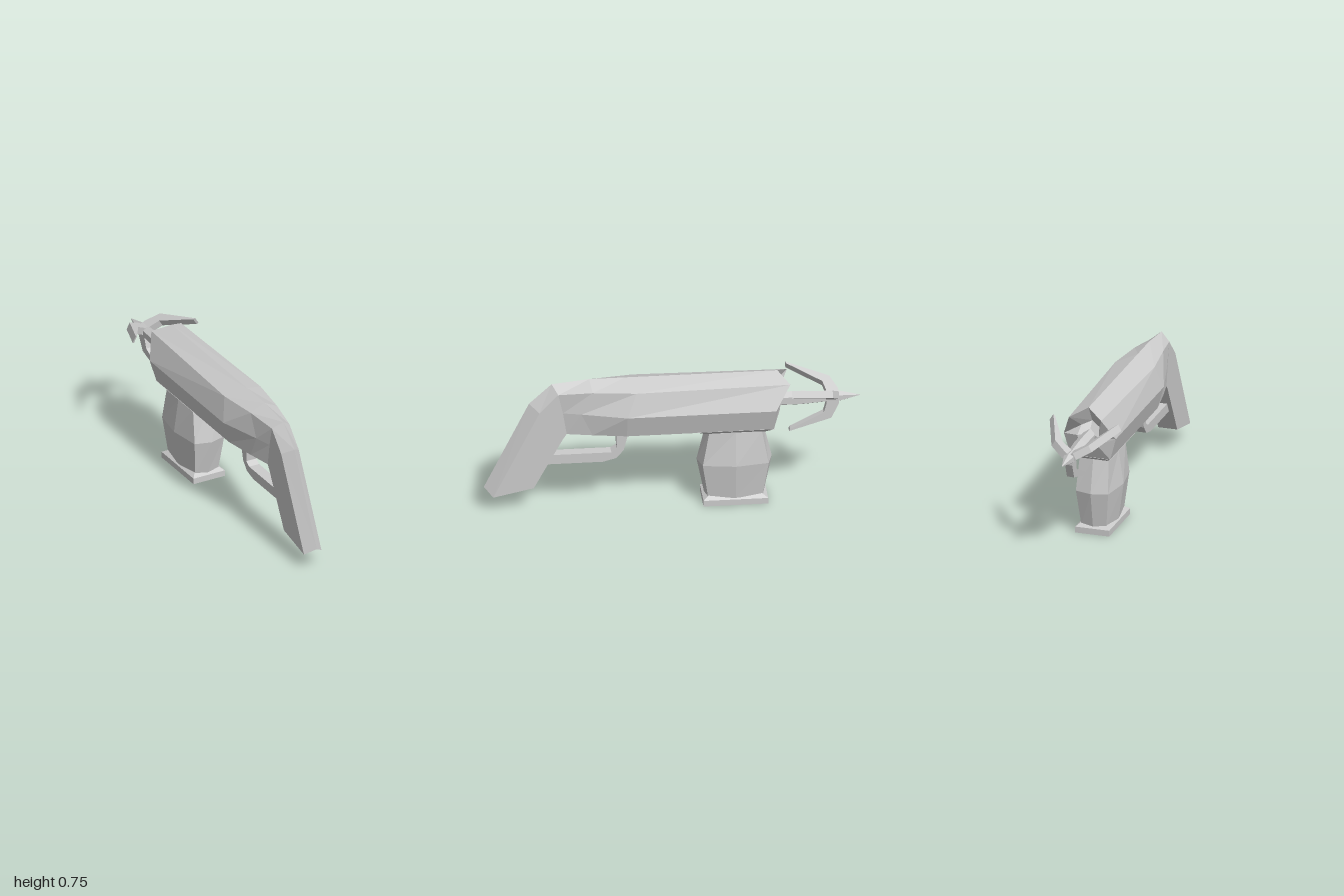
import * as THREE from 'three';

const material = new THREE.MeshStandardMaterial({ color: 0xcccccc, flatShading: true });

// Skin a list of equal-length rings of [x, y, z] points, closing both ends with fans.
function loft(name, rings) {
  const out = [];
  const n = rings[0].length;
  const tri = (a, b, c) => out.push([a, b, c]);
  for (let r = 0; r < rings.length - 1; r++) {
    for (let i = 0; i < n; i++) {
      const j = (i + 1) % n;
      tri(rings[r][i], rings[r][j], rings[r + 1][j]);
      tri(rings[r][i], rings[r + 1][j], rings[r + 1][i]);
    }
  }
  const cap = (ring, flip) => {
    const mid = [0, 1, 2].map(k => ring.reduce((s, p) => s + p[k], 0) / n);
    for (let i = 0; i < n; i++) {
      const a = ring[i], b = ring[(i + 1) % n];
      flip ? tri(mid, b, a) : tri(mid, a, b);
    }
  };
  cap(rings[0], true);
  cap(rings[rings.length - 1], false);
  // a negative enclosed volume means the skin is inside out
  let volume = 0;
  const va = new THREE.Vector3(), vb = new THREE.Vector3(), vc = new THREE.Vector3();
  for (const [a, b, c] of out) {
    volume += va.fromArray(a).dot(vb.fromArray(b).cross(vc.fromArray(c)));
  }
  const tris = volume < 0 ? out.map(([a, b, c]) => [a, c, b]) : out;
  const geometry = new THREE.BufferGeometry();
  geometry.setAttribute('position', new THREE.Float32BufferAttribute(tris.flat(2), 3));
  geometry.computeVertexNormals();
  const mesh = new THREE.Mesh(geometry, material);
  mesh.name = name;
  return mesh;
}

// Body ring: ridge [y, z], then mirrored shoulder, flank and belly as [x, y, z].
const bodyRing = ([y, z], ...side) => [
  [0, y, z], ...side, ...side.slice().reverse().map(([x, yy, zz]) => [-x, yy, zz]),
];

const rect = (hw, hd, y, zc) => [[hw, y, zc + hd], [hw, y, zc - hd], [-hw, y, zc - hd], [-hw, y, zc + hd]];

// Eight-sided handle ring with slightly peaked front and back.
const octagon = (hw, corner, hd, cornerDepth, y, zc) => [
  [0, y, zc + hd], [corner, y, zc + cornerDepth], [hw, y, zc], [corner, y, zc - cornerDepth],
  [0, y, zc - hd], [-corner, y, zc - cornerDepth], [-hw, y, zc], [-corner, y, zc + cornerDepth],
];

// Hook prong in its own plane: radius along +x, width along y, bent back along z.
function prong(angle, reach) {
  const w = 0.02;
  // outer radius, outer z, inner radius, inner z
  const stations = [
    [0.0, -0.885, 0.0, -0.82],
    [0.035, -0.885, 0.03, -0.82],
    [0.118, -0.845, 0.085, -0.805],
    [reach, -0.62, reach - 0.012, -0.625],
  ];
  const mesh = loft('hookProng', stations.map(([ro, zo, ri, zi]) => [
    [ro, -w, zo], [ro, w, zo], [ri, w, zi], [ri, -w, zi],
  ]));
  mesh.rotation.z = angle;
  return mesh;
}

export function createModel() {
  const model = new THREE.Group();
  model.name = 'grappleLauncher';
  const g = new THREE.Group();
  g.name = 'launcher';
  g.position.x = 0.007;
  model.add(g);

  // Barrel housing flowing back into the bent grip, with a recessed muzzle
  g.add(loft('bodyAndGrip', [
    bodyRing([0.65, -0.5], [0.05, 0.63, -0.53], [0.06, 0.585, -0.57], [0.05, 0.54, -0.57]),
    bodyRing([0.745, -0.56], [0.09, 0.702, -0.62], [0.145, 0.575, -0.54], [0.11, 0.45, -0.53]),
    bodyRing([0.745, 0.25], [0.11, 0.702, 0.2], [0.145, 0.575, 0.25], [0.11, 0.45, 0.25]),
    bodyRing([0.745, 0.44], [0.08, 0.702, 0.43], [0.08, 0.577, 0.49], [0.08, 0.45, 0.43]),
    bodyRing([0.725, 0.64], [0.053, 0.685, 0.61], [0.053, 0.575, 0.585], [0.053, 0.45, 0.565]),
    bodyRing([0.615, 0.76], [0.053, 0.58, 0.71], [0.053, 0.5, 0.65], [0.053, 0.42, 0.585]),
    bodyRing([0.13, 1.0], [0.053, 0.09, 0.955], [0.053, 0.112, 0.85], [0.053, 0.135, 0.74]),
  ]));

  // Trigger guard: flared root, then a square bar bending back to the grip
  const guard = [ // half width, outer y, outer z, inner y, inner z
    [0.08, 0.455, 0.19, 0.455, 0.38],
    [0.03, 0.425, 0.235, 0.425, 0.3],
    [0.03, 0.325, 0.26, 0.335, 0.295],
    [0.03, 0.28, 0.3, 0.316, 0.325],
    [0.03, 0.262, 0.37, 0.316, 0.38],
    [0.03, 0.262, 0.675, 0.316, 0.66],
  ];
  g.add(loft('triggerGuard', guard.map(([w, yo, zo, yi, zi]) => [
    [-w, yo, zo], [w, yo, zo], [w, yi, zi], [-w, yi, zi],
  ])));

  // Bulging front handle with a flared collar under the body
  const zc = -0.33;
  g.add(loft('frontHandle', [
    octagon(0.09, 0.07, 0.16, 0.145, 0.04, zc),
    octagon(0.117, 0.09, 0.2, 0.175, 0.24, zc),
    octagon(0.09, 0.08, 0.155, 0.14, 0.428, zc),
  ]));
  g.add(loft('handleCollar', [
    rect(0.08, 0.16, 0.425, zc), rect(0.113, 0.205, 0.452, zc),
  ]));
  g.add(loft('basePlate', [
    rect(0.095, 0.172, 0, zc), rect(0.095, 0.172, 0.033, zc), rect(0.07, 0.14, 0.053, zc),
  ]));

  // Hook: shaft, pointed tip and three swept-back prongs
  const hook = new THREE.Group();
  hook.name = 'hook';
  hook.position.y = 0.575;
  const hexRing = (r, z) => Array.from({ length: 6 }, (_, i) => {
    const a = i * Math.PI / 3 + Math.PI / 6;
    return [r * Math.cos(a), r * Math.sin(a), z];
  });
  hook.add(loft('hookShaft', [hexRing(0.04, -0.5), hexRing(0.04, -0.69), hexRing(0.03, -0.83)]));
  hook.add(loft('hookTip', [hexRing(0.03, -0.82), hexRing(0.033, -0.88), hexRing(0.001, -1.0)]));
  [[32, 0.22], [152, 0.22], [272, 0.185]].forEach(([deg, reach]) =>
    hook.add(prong(THREE.MathUtils.degToRad(deg), reach)));
  g.add(hook);

  return model;
}
